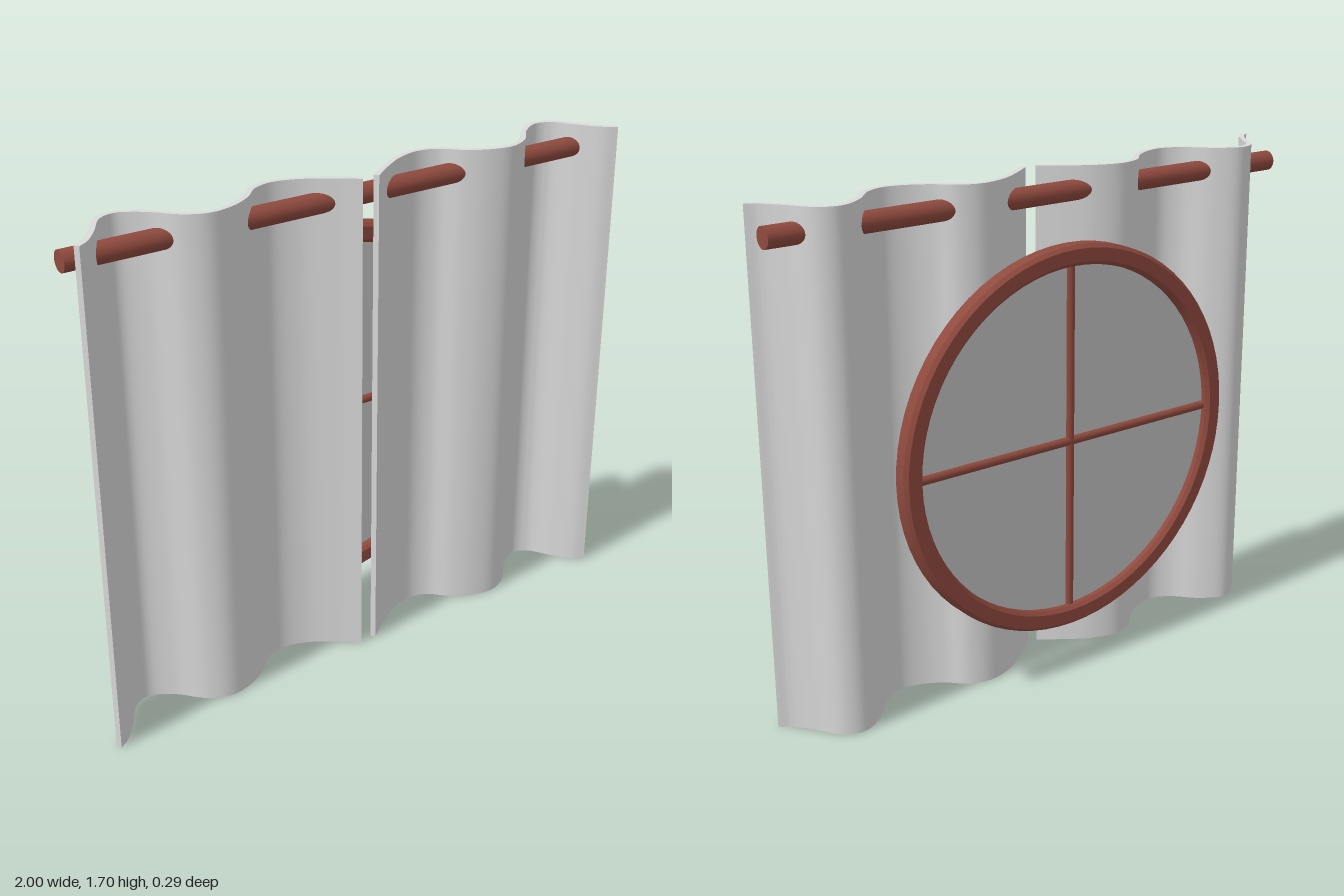
import * as THREE from 'three';
import { toCreasedNormals } from 'three/addons/utils/BufferGeometryUtils.js';

const fabric = new THREE.MeshStandardMaterial({ name: 'curtainFabric', color: 0xdadada });
const wood = new THREE.MeshStandardMaterial({ name: 'redWood', color: 0x8f4a3e });
const glass = new THREE.MeshStandardMaterial({ name: 'windowGlass', color: 0xc2c2c2 });

// Fold line of one curtain, from the middle gap outwards: x, z
const FOLDS = [
  [0.025, 0.1], [0.1, 0.043], [0.19, -0.012], [0.28, -0.034], [0.35, -0.012],
  [0.41, 0.045], [0.48, 0.085], [0.56, 0.1], [0.63, 0.07], [0.71, -0.012],
  [0.79, -0.055], [0.85, -0.035], [0.91, 0.05], [0.96, 0.112], [0.995, 0.135],
];
const HALF_THICKNESS = 0.009;

function add(parent, name, geometry, material, x = 0, y = 0, z = 0) {
  const mesh = new THREE.Mesh(geometry, material);
  mesh.name = name;
  mesh.position.set(x, y, z);
  parent.add(mesh);
  return mesh;
}

// Thin wavy strip, offset to both sides of the fold line and extruded upwards
function curtainGeometry(side) {
  const curve = new THREE.CatmullRomCurve3(
    FOLDS.map(([x, z]) => new THREE.Vector3(side * x, -z, 0)));
  const front = [], back = [];
  const steps = 90;
  for (let i = 0; i <= steps; i++) {
    const p = curve.getPoint(i / steps);
    const t = curve.getTangent(i / steps);
    const nx = -t.y * HALF_THICKNESS, ny = t.x * HALF_THICKNESS;
    front.push(new THREE.Vector2(p.x + nx, p.y + ny));
    back.unshift(new THREE.Vector2(p.x - nx, p.y - ny));
  }
  const geometry = new THREE.ExtrudeGeometry(new THREE.Shape([...front, ...back]),
    { depth: 1.7, bevelEnabled: false });
  geometry.rotateX(-Math.PI / 2);
  return toCreasedNormals(geometry, 0.6);
}

// Round frame with chamfered edges
function frameGeometry() {
  const outer = 0.66, inner = 0.592, h = 0.033, c = 0.012;
  const profile = [
    [inner, -h + c], [inner + c, -h], [outer - c, -h], [outer, -h + c],
    [outer, h - c], [outer - c, h], [inner + c, h], [inner, h - c], [inner, -h + c],
  ].map(([r, y]) => new THREE.Vector2(r, y));
  const geometry = new THREE.LatheGeometry(profile, 72);
  geometry.rotateX(Math.PI / 2);
  return toCreasedNormals(geometry, 0.5);
}

export function createModel() {
  const model = new THREE.Group();
  model.name = 'curtainedRoundWindow';

  // Curtains
  add(model, 'leftCurtain', curtainGeometry(1), fabric);
  add(model, 'rightCurtain', curtainGeometry(-1), fabric);

  // Curtain rod running through the folds
  const rod = new THREE.CylinderGeometry(0.034, 0.034, 2, 32);
  rod.rotateZ(Math.PI / 2);
  add(model, 'curtainRod', rod, wood, 0, 1.62, 0.022);

  // Round window behind the curtains
  const roundWindow = new THREE.Group();
  roundWindow.name = 'roundWindow';
  roundWindow.position.set(0, 0.825, -0.112);
  model.add(roundWindow);
  add(roundWindow, 'windowFrame', frameGeometry(), wood);

  const pane = new THREE.CylinderGeometry(0.6, 0.6, 0.006, 72);
  pane.rotateX(Math.PI / 2);
  add(roundWindow, 'windowPane', pane, glass);

  // Crossing glazing bars
  const bar = new THREE.CylinderGeometry(0.016, 0.016, 1.2, 16);
  add(roundWindow, 'verticalBar', bar, wood);
  add(roundWindow, 'horizontalBar', bar, wood).rotation.z = Math.PI / 2;

  return model;
}
